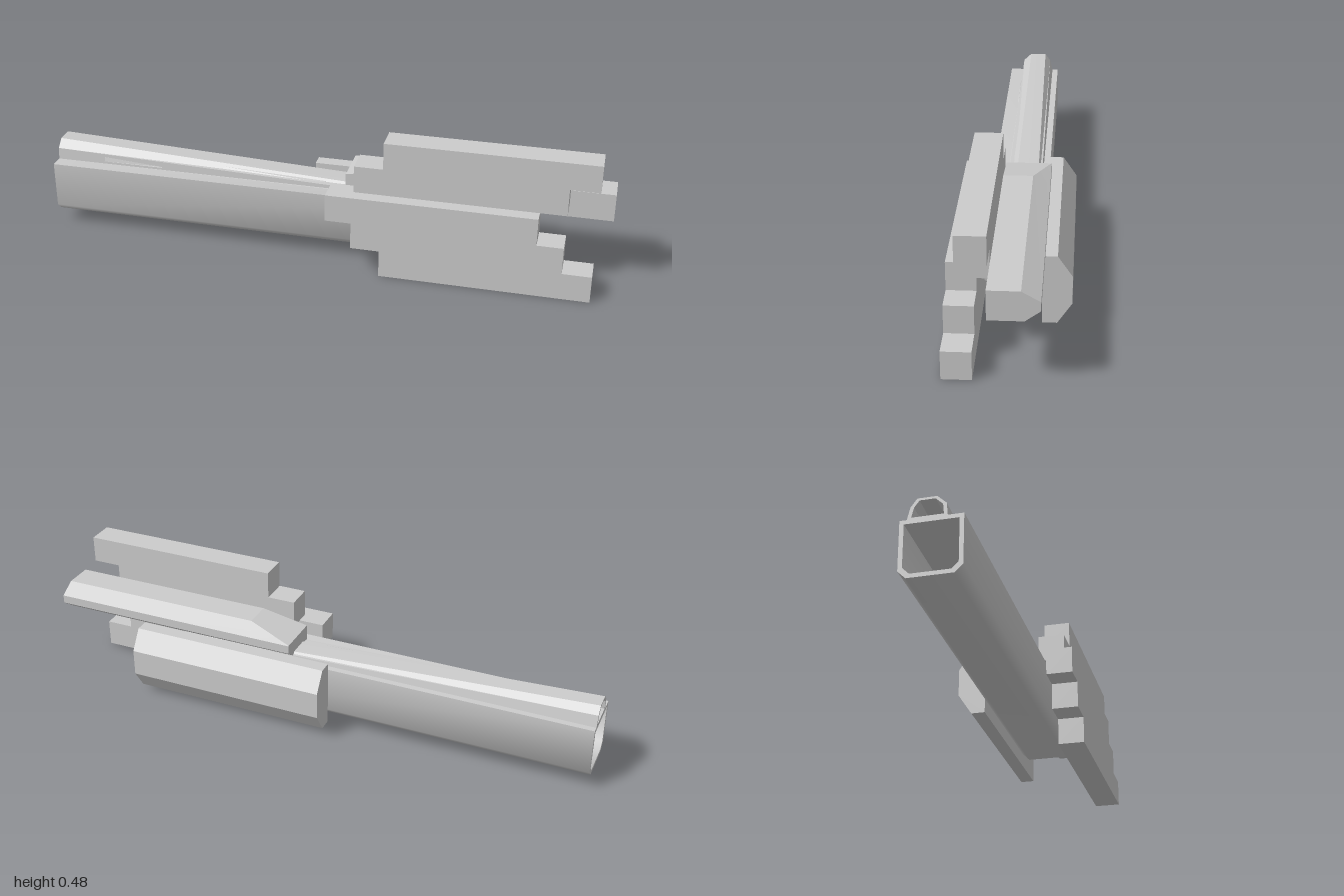
import * as THREE from 'three';
import { toCreasedNormals } from 'three/addons/utils/BufferGeometryUtils.js';

const material = new THREE.MeshStandardMaterial({ color: 0xcccccc, side: THREE.DoubleSide });

// Skin a run of cross-sections [x, [[z, y], ...]], counter-clockwise in (z, y), with both ends capped
function loft(name, sections, crease = 0.1) {
  const n = sections[0][1].length, pos = [], idx = [];
  for (const [x, pts] of sections) for (const [z, y] of pts) pos.push(x, y, z);
  for (let s = 0; s < sections.length - 1; s++)
    for (let i = 0; i < n; i++) {
      const a = s * n + i, b = s * n + (i + 1) % n;
      idx.push(a, a + n, b + n, a, b + n, b);
    }
  const last = (sections.length - 1) * n;
  for (let i = 1; i < n - 1; i++) idx.push(0, i, i + 1, last, last + i + 1, last + i);
  const geo = new THREE.BufferGeometry();
  geo.setAttribute('position', new THREE.Float32BufferAttribute(pos, 3));
  geo.setIndex(idx);
  const mesh = new THREE.Mesh(toCreasedNormals(geo, crease), material);
  mesh.name = name;
  return mesh;
}

// Scale a section about a point
const scaled = (pts, k, cz, cy) => pts.map(([z, y]) => [cz + (z - cz) * k, cy + (y - cy) * k]);

// Stepped plate: outline in (x, y), extruded along z
function plate(name, outline, z0, z1) {
  const shape = new THREE.Shape(outline.map(([x, y]) => new THREE.Vector2(x, y)));
  const geo = new THREE.ExtrudeGeometry(shape, { depth: z1 - z0, bevelEnabled: false });
  const mesh = new THREE.Mesh(geo.translate(0, 0, z0), material);
  mesh.name = name;
  return mesh;
}

export function createModel() {
  const model = new THREE.Group();

  // Hollow main tube: inner wall, rim, outer wall, rounded closed end
  const tube = [[-0.072, 0.05], [0.072, 0.05], [0.097, 0.075], [0.097, 0.24], [-0.097, 0.24], [-0.097, 0.075]];
  const tubeAt = (x, k) => [x, scaled(tube, k, 0, 0.145)];
  model.add(loft('mainTube', [
    tubeAt(0.4, 0.86), tubeAt(-1, 0.86), tubeAt(-1, 1), tubeAt(0.49, 1),
    tubeAt(0.53, 0.8), tubeAt(0.56, 0.47),
  ], 1.0));

  // Hollow ridge along the top, falling away towards +x
  const ridge = (x, h, k = 1) => [x, scaled([
    [-0.075, 0.24], [0.048, 0.24], [0.044, 0.24 + h * 0.6], [0.015, 0.24 + h],
    [-0.045, 0.24 + h], [-0.065, 0.24 + h * 0.6],
  ], k, -0.01, 0.24 + h * 0.45)];
  model.add(loft('topRidge', [
    ridge(0, 0.022, 0.8), ridge(-1, 0.068, 0.8), ridge(-1, 0.068), ridge(0.45, 0.002),
  ]));

  // Thin sliver on the ridge's front side
  const sliver = (x, h) => [x, [[0.03, 0.25], [0.05, 0.25], [0.046, 0.25 + h], [0.03, 0.25 + h]]];
  model.add(loft('ridgeSliver', [sliver(-0.82, 0.015), sliver(-0.6, 0.001)]));

  // Stepped plates on the front side
  model.add(plate('lowerSteppedPlate', [
    [0.23, 0], [0.95, 0], [0.95, 0.097], [0.85, 0.097], [0.85, 0.193], [0.76, 0.193],
    [0.76, 0.29], [0.04, 0.29], [0.04, 0.193], [0.13, 0.193], [0.13, 0.097], [0.23, 0.097],
  ], 0.098, 0.192));
  model.add(plate('upperSteppedPlate', [
    [0.13, 0.29], [0.85, 0.29], [0.85, 0.387], [0.95, 0.387], [0.95, 0.483],
    [0.23, 0.483], [0.23, 0.387], [0.13, 0.387],
  ], 0.05, 0.145));

  // Long bar on top, its -x end sloped down
  const bar = (x, top, z) => [x, [
    [-0.06, 0.24], [0.05, 0.24], [0.05, top], [z, top], [-0.107, 0.305], [-0.107, 0.275],
  ]];
  model.add(loft('topBar', [bar(0.08, 0.306, -0.105), bar(0.25, 0.338, -0.05), bar(1, 0.338, -0.05)]));

  // Chamfered block on the back side
  const block = [[-0.097, 0.025], [-0.097, 0.263], [-0.145, 0.263], [-0.192, 0.193], [-0.192, 0.097], [-0.145, 0.025]];
  model.add(loft('backBlock', [[-0.065, block], [0.66, block]]));

  return model;
}
